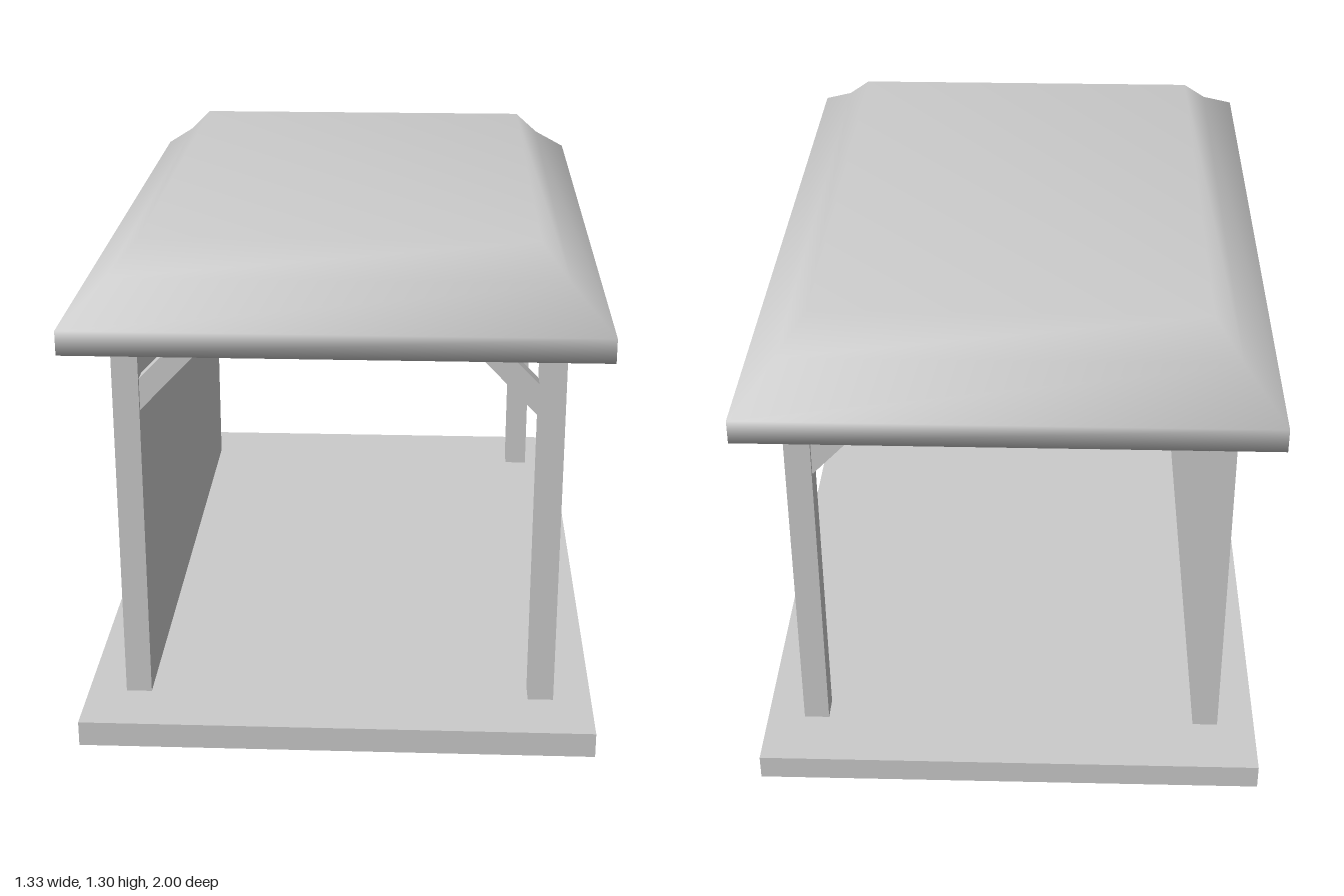
import * as THREE from 'three';

const mat = new THREE.MeshStandardMaterial({ color: 0xcccccc });
const W = 1.333, D = 2, FLOOR = 0.067, EAVE = 1.073, POST = 0.067;
const PX = 0.533, PZ = 0.8;

function box(name, w, h, d, x, y, z) {
  const mesh = new THREE.Mesh(new THREE.BoxGeometry(w, h, d), mat);
  mesh.name = name;
  mesh.position.set(x, y, z);
  return mesh;
}

// Diagonal strut in the XY plane, running inward (+x) from the post up to the eave
function braceGeometry() {
  const shape = new THREE.Shape([
    [POST / 2, 0.867], [0.23, EAVE], [0.152, EAVE], [POST / 2, 0.952],
  ].map(([x, y]) => new THREE.Vector2(x, y)));
  const t = 0.045;
  return new THREE.ExtrudeGeometry(shape, { depth: t, bevelEnabled: false }).translate(0, 0, -t / 2);
}

// Flared hip roof: stacked rectangles [half width, y, half depth], softly shaded as one skin
function roofGeometry() {
  const rings = [
    [W / 2, EAVE, D / 2],
    [W / 2, 1.135, D / 2],
    [0.567, 1.219, 0.84],
    [0.497, 1.297, 0.745],
  ];
  const corners = [[1, 1], [1, -1], [-1, -1], [-1, 1]];
  const pos = [], idx = [];
  for (const [hx, y, hz] of rings) for (const [sx, sz] of corners) pos.push(sx * hx, y, sz * hz);
  for (let r = 0; r < rings.length - 1; r++) {
    for (let i = 0; i < 4; i++) {
      const a = r * 4 + i, b = r * 4 + (i + 1) % 4;
      idx.push(a, b, b + 4, a, b + 4, a + 4);
    }
  }
  const t = (rings.length - 1) * 4;
  idx.push(t, t + 1, t + 2, t, t + 2, t + 3); // flat top
  idx.push(0, 2, 1, 0, 3, 2); // underside
  const geo = new THREE.BufferGeometry();
  geo.setAttribute('position', new THREE.Float32BufferAttribute(pos, 3));
  geo.setIndex(idx);
  geo.computeVertexNormals();
  return geo;
}

export function createModel() {
  const model = new THREE.Group();
  model.name = 'shelter';

  model.add(box('floor', W, FLOOR, D, 0, FLOOR / 2, 0));

  const h = EAVE - FLOOR, midY = FLOOR + h / 2;

  // Corner posts with braces towards the middle
  const braceGeo = braceGeometry();
  const addBrace = (name, x, z, angle) => {
    const brace = new THREE.Mesh(braceGeo, mat);
    brace.name = name;
    brace.position.set(x, 0, z);
    brace.rotation.y = angle;
    model.add(brace);
  };
  for (const sx of [1, -1]) {
    for (const sz of [1, -1]) {
      const label = (sz > 0 ? 'front' : 'back') + (sx > 0 ? 'Left' : 'Right');
      const x = sx * PX, z = sz * PZ;
      model.add(box(label + 'Post', POST, h, POST, x, midY, z));
      addBrace(label + 'CrossBrace', x, z, sx > 0 ? Math.PI : 0);
      // The walled side needs no lengthwise braces
      if (sx > 0) addBrace(label + 'SideBrace', x, z, sz * Math.PI / 2);
    }
  }

  // Solid wall filling the right side between the posts
  model.add(box('sideWall', POST, h, 2 * PZ - POST, -PX, midY, 0));

  const roof = new THREE.Mesh(roofGeometry(), mat);
  roof.name = 'roof';
  model.add(roof);

  return model;
}
